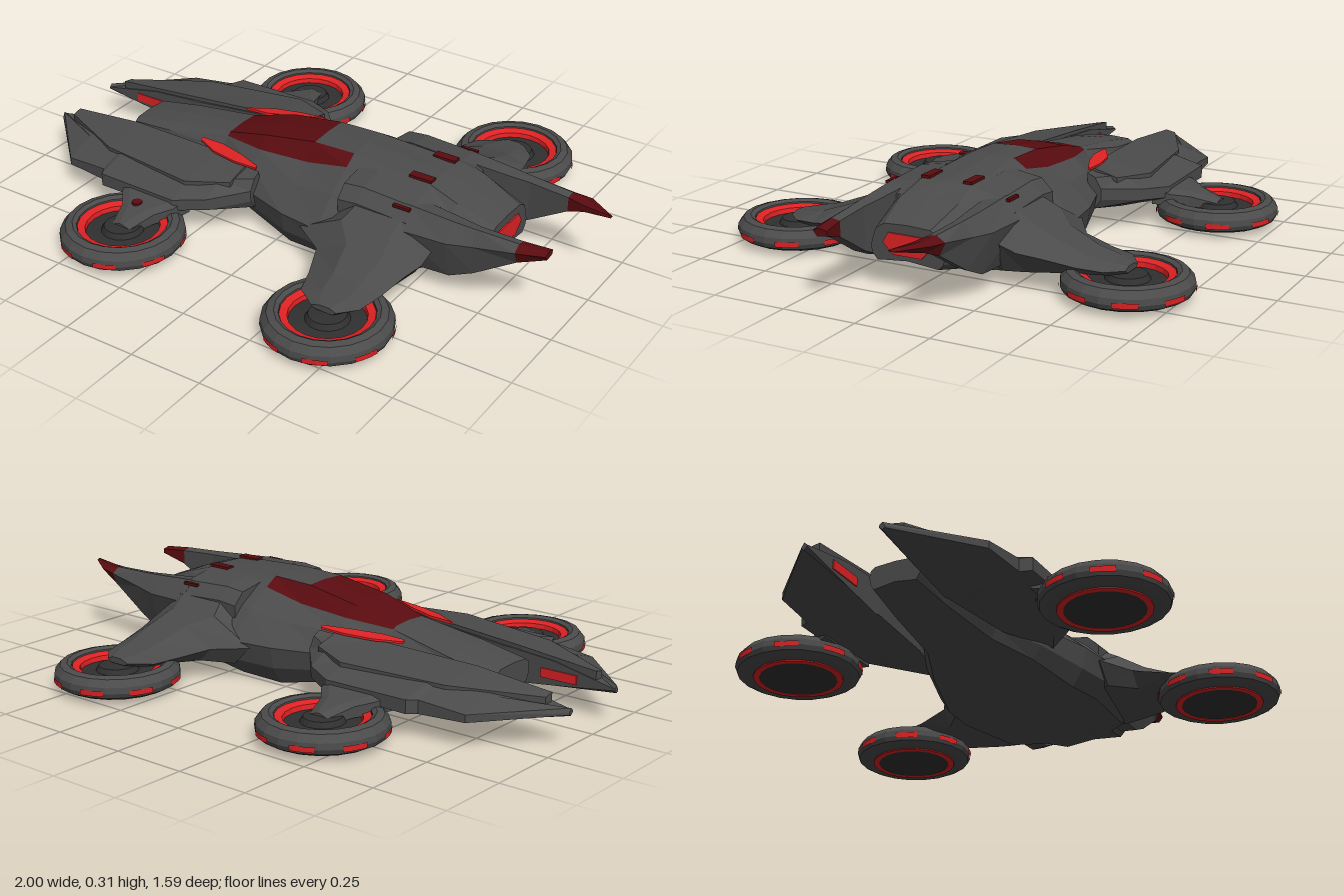
import * as THREE from 'three';

const mat = (name, color) => {
  const m = new THREE.MeshStandardMaterial({ color });
  m.name = name;
  return m;
};

// Skins closed rings of [x, y, z] points, caps the ends, and paints faces by rule
function loft(rings, paint = () => 0) {
  const buckets = [[], []];
  const tri = (k, a, b, c) => buckets[k].push([a, b, c]);
  const n = rings[0].length;
  for (let i = 0; i < rings.length - 1; i++) {
    for (let j = 0; j < n; j++) {
      const a = rings[i][j], b = rings[i][(j + 1) % n];
      const c = rings[i + 1][(j + 1) % n], d = rings[i + 1][j];
      const k = paint(i, j);
      tri(k, a, b, c);
      tri(k, a, c, d);
    }
  }
  const cap = (ring, flip) => {
    const mid = [0, 1, 2].map(q => ring.reduce((s, p) => s + p[q], 0) / n);
    for (let j = 0; j < n; j++) {
      const a = ring[j], b = ring[(j + 1) % n];
      flip ? tri(0, mid, b, a) : tri(0, mid, a, b);
    }
  };
  cap(rings[0], true);
  cap(rings[rings.length - 1], false);
  // signed volume tells whether the skin is inside out
  const vol = buckets.flat().reduce((s, [a, b, c]) => s
    + a[0] * (b[1] * c[2] - b[2] * c[1])
    + a[1] * (b[2] * c[0] - b[0] * c[2])
    + a[2] * (b[0] * c[1] - b[1] * c[0]), 0);
  const pos = [];
  const geo = new THREE.BufferGeometry();
  buckets.forEach((list, k) => {
    const start = pos.length / 3;
    for (const [a, b, c] of list) pos.push(...a, ...(vol < 0 ? c : b), ...(vol < 0 ? b : c));
    if (list.length) geo.addGroup(start, list.length * 3, k);
  });
  geo.setAttribute('position', new THREE.Float32BufferAttribute(pos, 3));
  geo.computeVertexNormals();
  return geo;
}

export function createModel() {
  const hull = mat('hull grey', 0x4b4b4b);
  const dark = mat('dark grey', 0x303030);
  const glow = mat('bright red', 0xe02224);
  const glass = mat('dark red', 0x5a0c10);
  const model = new THREE.Group();

  const add = (name, geo, mats, parent = model) => {
    const mesh = new THREE.Mesh(geo, mats);
    mesh.name = name;
    parent.add(mesh);
    return mesh;
  };
  const box = (name, size, at, m) => add(name, new THREE.BoxGeometry(...size), m).position.set(...at);

  // Fuselage: [x, roof y, roof z, shoulder y, shoulder z, widest z, floor y]
  const bodyRings = [
    [-.71, .165, .07, .15, .085, .09, .085],
    [-.55, .195, .07, .17, .1, .11, .065],
    [-.31, .228, .07, .215, .085, .14, .05],
    [-.15, .272, .085, .232, .125, .22, .03],
    [.04, .303, .08, .245, .125, .28, 0],
    [.19, .308, .08, .275, .125, .3, .01],
    [.48, .292, .09, .265, .14, .26, .035],
    [.58, .262, .1, .23, .13, .155, .06],
    [.71, .212, .08, .19, .11, .13, .09],
  ].map(([x, yt, zt, ys, zs, zw, yb]) => {
    const half = [[yt - .004, zt], [ys, zs], [ys * .6 + .052, (zs + zw) / 2], [.13, zw],
      [yb * .55 + .058, zw * .95], [yb, zw * .82]];
    return [[x, yt, 0], ...half.map(([y, z]) => [x, y, z]),
      [x, yb + .01, 0], ...half.reverse().map(([y, z]) => [x, y, -z])];
  });
  const canopy = (i, j) => {
    const strip = j > 6 ? 13 - j : j;
    return (strip === 0 && (i === 2 || i === 3)) || (strip === 1 && i >= 2 && i <= 4) ? 1 : 0;
  };
  add('fuselage and canopy', loft(bodyRings, canopy), [hull, glass]);

  // Tail exhaust
  const nozzle = [[.115, .05], [.15, .085], [.182, .065], [.182, -.065], [.15, -.085], [.115, -.05]];
  add('exhaust', loft([.708, .715].map(x => nozzle.map(([y, z]) => [x, y, z]))), glow);

  for (const s of [1, -1]) {
    const side = s > 0 ? 'left' : 'right';
    const mirror = rings => rings.map(r => r.map(([x, y, z]) => [x, y, z * s]));

    // Front fender: [x, inner z, outer z, inner top, outer top, bottom]
    const fender = [
      [-1, .12, .14, .11, .105, .095], [-.78, .12, .355, .155, .11, .065],
      [-.62, .12, .37, .168, .125, .045], [-.6, .12, .405, .168, .13, .05],
      [-.3, .15, .41, .185, .13, .06], [-.2, .18, .36, .19, .14, .07],
      [-.1, .2, .25, .2, .15, .08],
    ].map(([x, zi, zo, yi, yo, yb]) => {
      const zm = zi + (zo - zi) * .55;
      return [[x, yi, zi], [x, (yi + yo) / 2 + .012, zm], [x, yo, zo],
        [x, yo - (yo - yb) * .55, zo], [x, yb, zm], [x, yb + .01, zi]];
    });
    add(side + ' front fender', loft(mirror(fender)), hull);

    // Raised deck on the fender: [x, inner z, outer z, inner top, outer top]
    const deck = [
      [-.93, .125, .16, .152, .145], [-.66, .125, .29, .178, .158],
      [-.3, .155, .34, .195, .168], [-.16, .19, .28, .202, .178],
    ].map(([x, zi, zo, yi, yo]) => [[x, yi, zi], [x, yo, zo], [x, yo - .03, zo], [x, yi - .03, zi]]);
    add(side + ' fender deck', loft(mirror(deck)), hull);

    // Glowing vent along the cockpit and light on the inner fender wall
    const vent = [[-.385, .206, .125, .135], [-.3, .209, .128, .178], [-.2, .213, .158, .2], [-.11, .218, .197, .205]]
      .map(([x, y, a, b]) => [[x, y, a], [x, y - .005, b], [x, y - .012, b], [x, y - .009, a]]);
    add(side + ' vent', loft(mirror(vent)), glow);
    box(side + ' fender light', [.13, .03, .006], [-.8, .11, s * .119], glow);

    // Front wheel arm: [z, front x, back x, top, bottom]
    const arm = [[.36, -.53, -.27, .13, .07], [.42, -.5, -.29, .115, .065],
      [.47, -.46, -.33, .105, .06], [.56, -.43, -.36, .085, .055]]
      .map(([z, a, b, t, u]) => [[a, t - .01, z], [a + .03, t, z], [b - .03, t, z],
        [b, t - .01, z], [b, u, z], [a, u, z]]);
    add(side + ' front arm', loft(mirror(arm)), hull);

    // Rear wing reaching over the wheel: [z, front x, back x, top, bottom]
    const wing = [
      [.14, .17, .56, .272, .06], [.22, .16, .57, .24, .045], [.29, .12, .57, .195, .05],
      [.36, .23, .55, .165, .06], [.47, .275, .53, .125, .07], [.55, .3, .51, .108, .075],
      [.6, .37, .46, .1, .08],
    ].map(([z, a, b, t, u]) => {
      const w = b - a, h = t - u;
      return [[a, u + h * .45, z], [a + w * .35, t, z], [b - w * .25, t, z],
        [b, u + h * .55, z], [b - w * .15, u, z], [a + w * .15, u, z]];
    });
    add(side + ' rear wing', loft(mirror(wing)), hull);

    // Engine cover panel over the wing root
    const cover = [[.23, .272], [.3, .279], [.48, .27], [.54, .24]].map(([x, y]) => [
      [x, y + .012, .1], [x, y - .005, .2], [x, y - .045, .24], [x, y - .09, .24], [x, y - .05, .1]]);
    add(side + ' engine cover', loft(mirror(cover)), hull);
    box(side + ' inner slot', [.08, .009, .03], [.44, .295, s * .075], glass);
    box(side + ' outer slot', [.06, .009, .012], [.45, .259, s * .215], glass);

    // Tail fin: [x, inner z, outer z, bottom, top]
    const finRing = ([x, a, b, u, t]) => [[x, t - .006, a], [x, t, (a + b) / 2], [x, t - .3 * (t - u), b],
      [x, u, (a + b) / 2 + .01], [x, u + .005, a]];
    const root = [.84, .15, .21, .185, .246];
    const fin = [[.46, .14, .26, .06, .268], [.62, .15, .24, .065, .257], [.7, .157, .222, .1, .252], root];
    const tip = s > 0 ? [root, [.93, .135, .185, .215, .241]]
      : [root, [.9, .138, .2, .21, .243], [1, .12, .126, .235, .241]];
    add(side + ' tail fin', loft(mirror(fin.map(finRing))), hull);
    add(side + ' fin tip', loft(mirror(tip.map(finRing))), glass);

    // Hover wheels
    for (const [end, x, z] of [['front', -.4, .545], ['rear', .425, .592]]) {
      const wheel = new THREE.Group();
      wheel.name = `${side} ${end} wheel`;
      wheel.position.set(x, 0, z * s);
      model.add(wheel);
      const spin = (name, pts, m) => {
        const g = new THREE.LatheGeometry(pts.map(p => new THREE.Vector2(...p)), 20).toNonIndexed();
        g.computeVertexNormals();
        add(name, g, m, wheel);
      };
      spin('tyre', [[.1, .016], [.175, .014], [.198, .026], [.205, .042], [.203, .062], [.185, .084],
        [.162, .09], [.148, .082], [.146, .05]], hull);
      spin('upper light ring', [[.15, .068], [.146, .077], [.122, .07], [.118, .045]], glow);
      spin('hub', [[.12, .03], [.12, .054], [.07, .058], [.06, .075], [0, .078]], dark);
      spin('lower light ring', [[.128, .02], [.126, .011], [.146, .011], [.148, .02]], glow);
      spin('lower disc', [[0, .012], [.126, .012], [.126, .03]], dark);
      for (let k = 0; k < 8; k++) {
        const slit = new THREE.CylinderGeometry(.207, .206, .018, 3, 1, true, k * Math.PI / 4 + .2, .38);
        add('side light', slit, glow, wheel).position.y = .043;
      }
    }
  }

  // Marker on the left front arm
  const marker = add('arm marker', new THREE.CylinderGeometry(.018, .018, .008, 10), glass);
  marker.position.set(-.41, .108, .455);
  return model;
}
